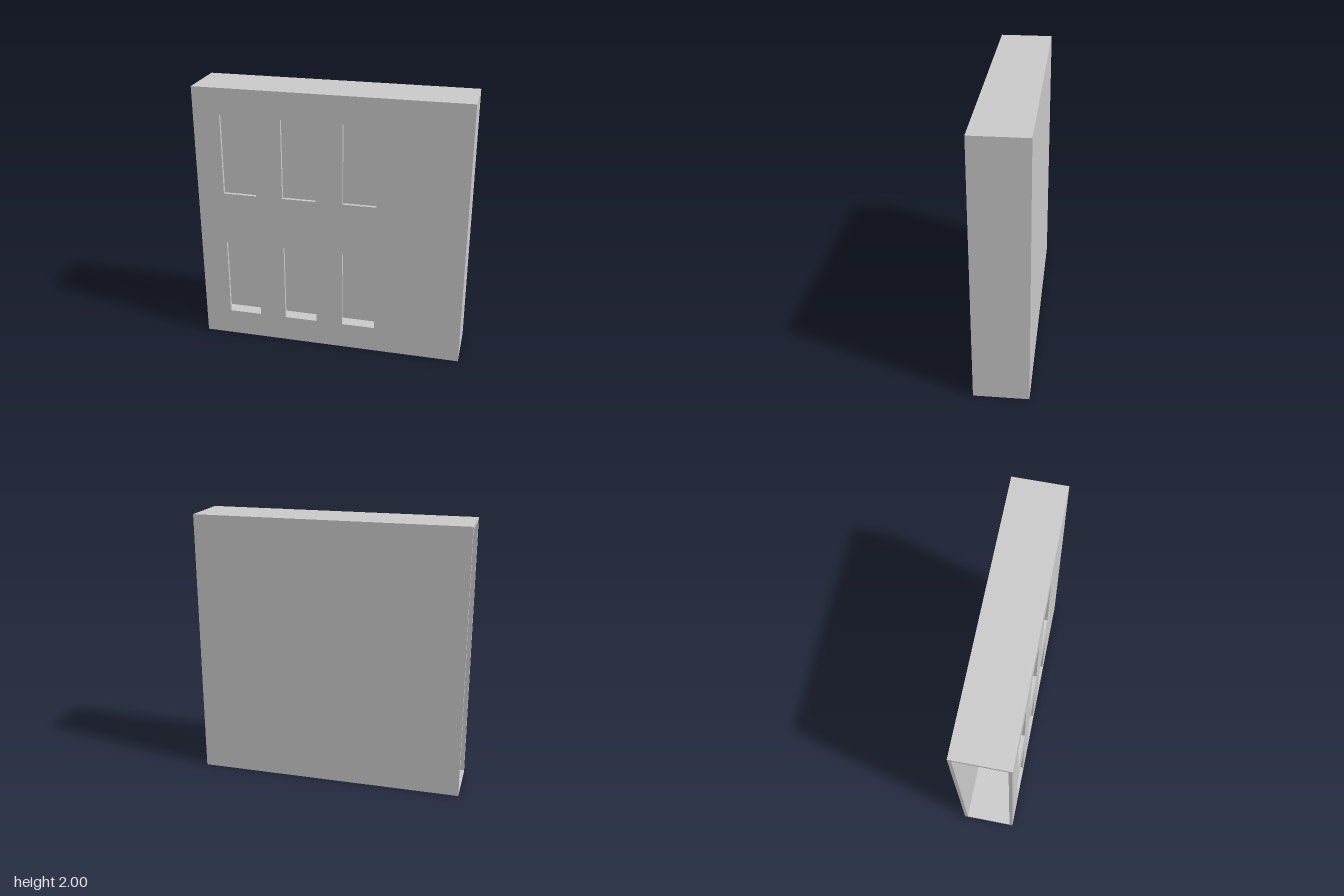
import * as THREE from 'three';

const W = 2, H = 2, D = 0.4, T = 0.025; // outer size and wall thickness

export function createModel() {
  const model = new THREE.Group();
  model.name = 'buildingShell';
  const material = new THREE.MeshStandardMaterial({ color: 0xcccccc, flatShading: true });

  const add = (name, geometry, x, y, z) => {
    const mesh = new THREE.Mesh(geometry, material);
    mesh.name = name;
    mesh.position.set(x, y, z);
    model.add(mesh);
  };

  // Closed rectangular path from its lower left corner
  const rect = (path, x, y, w, h) => {
    path.moveTo(x, y);
    path.lineTo(x + w, y);
    path.lineTo(x + w, y + h);
    path.lineTo(x, y + h);
    path.closePath();
    return path;
  };

  // Front wall with two rows of three windows
  const facade = rect(new THREE.Shape(), -W / 2, 0, W, H);
  for (const y of [0.2, 1.2]) {
    for (const x of [-0.8, -0.35, 0.1]) {
      facade.holes.push(rect(new THREE.Path(), x, y, 0.25, 0.6));
    }
  }
  const front = new THREE.ExtrudeGeometry(facade, { depth: T, bevelEnabled: false });
  add('frontWall', front, 0, 0, D / 2 - T);

  // Plain back wall
  add('backWall', new THREE.BoxGeometry(W, H, T), 0, H / 2, -D / 2 + T / 2);

  // Floor, roof and the left end wall; the right end stays open
  const inner = D - 2 * T;
  const slab = new THREE.BoxGeometry(W, T, inner);
  add('floor', slab, 0, T / 2, 0);
  add('roof', slab, 0, H - T / 2, 0);
  add('leftEndWall', new THREE.BoxGeometry(T, H - 2 * T, inner), W / 2 - T / 2, H / 2, 0);

  return model;
}
